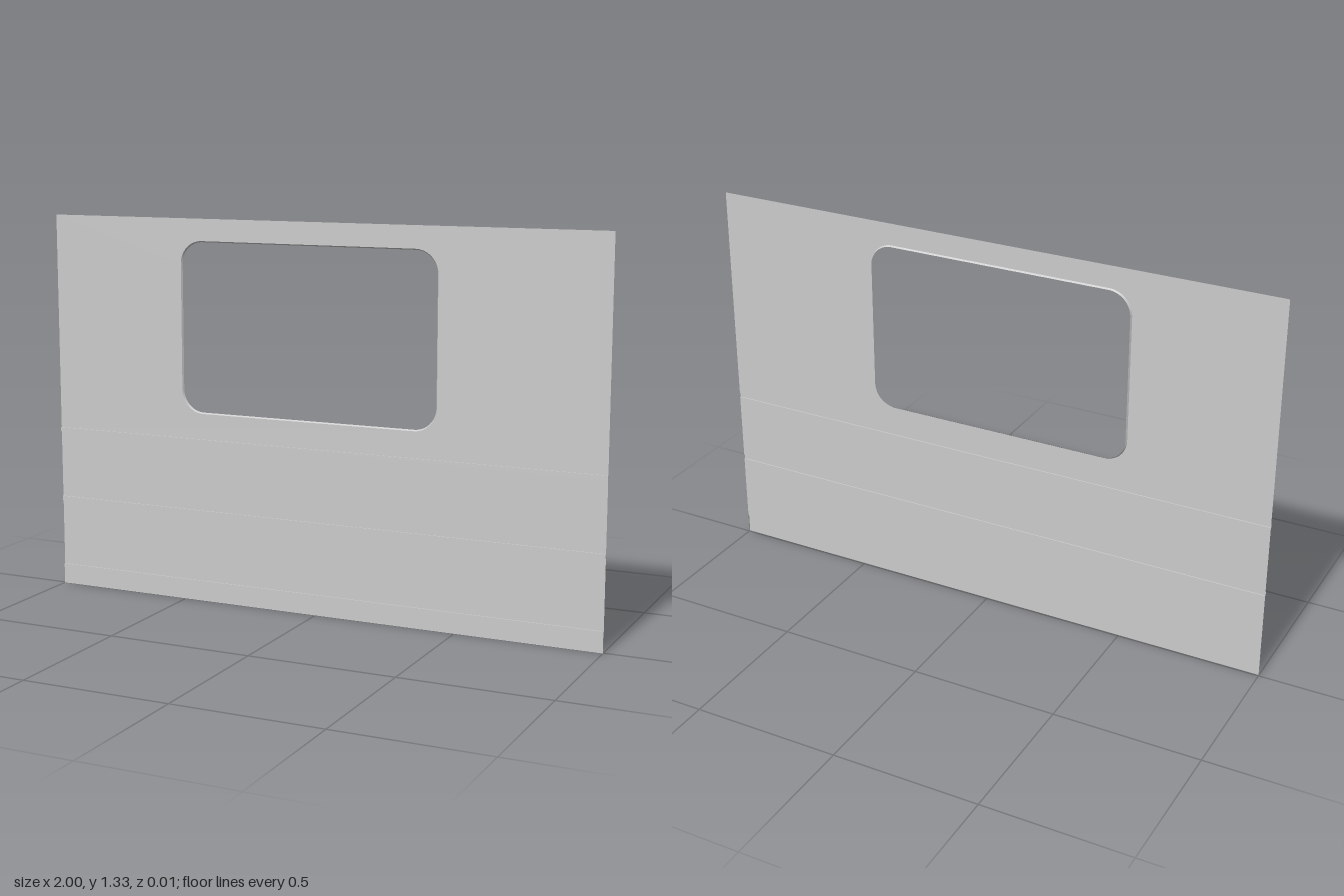
import * as THREE from 'three';

const BACK = -0.005, SHEET = 0.001, RAISED = 0.005; // depths of the pressed sheet
const TOP = 1.325;

const material = new THREE.MeshStandardMaterial({ color: 0xcccccc, side: THREE.DoubleSide });

// Quads joining two matching rows of [x, y, z] points
function ribbon(a, b) {
  const pos = [];
  for (let i = 0; i < a.length - 1; i++) {
    pos.push(...a[i], ...b[i], ...b[i + 1], ...a[i], ...b[i + 1], ...a[i + 1]);
  }
  const g = new THREE.BufferGeometry();
  g.setAttribute('position', new THREE.Float32BufferAttribute(pos, 3));
  g.computeVertexNormals();
  return g;
}

// Rounded window outline, counter-clockwise, shrunk by an inset
function windowOutline(PathType, inset) {
  const x0 = -0.505 + inset, x1 = 0.43 - inset, y0 = 0.66 + inset, y1 = 1.25 - inset;
  const r = 0.08 - inset, q = Math.PI / 2;
  const p = new PathType();
  p.moveTo(x0 + r, y0);
  p.absarc(x1 - r, y0 + r, r, -q, 0, false);
  p.absarc(x1 - r, y1 - r, r, 0, q, false);
  p.absarc(x0 + r, y1 - r, r, q, 2 * q, false);
  p.absarc(x0 + r, y0 + r, r, 2 * q, 3 * q, false);
  p.closePath();
  return p;
}

export function createModel() {
  const group = new THREE.Group();
  const add = (name, geometry) => {
    const mesh = new THREE.Mesh(geometry, material);
    mesh.name = name;
    group.add(mesh);
    return mesh;
  };

  // Upper sheet with the window opening
  const bottom = 0.571;
  const sheet = new THREE.Shape();
  sheet.moveTo(-1, bottom).lineTo(1, bottom).lineTo(1, TOP).lineTo(-1, TOP).closePath();
  sheet.holes.push(windowOutline(THREE.Path, 0));
  add('upperPanel', new THREE.ShapeGeometry(sheet, 10)).position.z = SHEET;

  // Flange folded back around the window
  const at = (inset, z) => windowOutline(THREE.Path, inset).getPoints(10).map(p => [p.x, p.y, z]);
  add('windowFlange', ribbon(at(0, SHEET), at(0.004, BACK)));

  // Lower sheet: two raised ribs and a raised bottom band
  const profile = [[bottom, SHEET]];
  for (const y of [0.571, 0.321]) {
    profile.push([y, RAISED], [y - 0.016, RAISED], [y - 0.016, SHEET], [y - 0.25, SHEET]);
  }
  profile.push([0.071, RAISED], [0, RAISED]);
  const edge = x => profile.map(([y, z]) => [x, y, z]);
  add('lowerPanel', ribbon(edge(-1), edge(1)));

  // Small end returns on the bottom band
  for (const x of [-1, 1]) {
    add(x > 0 ? 'leftEndReturn' : 'rightEndReturn',
      ribbon([[x, 0, SHEET], [x, 0.071, SHEET]], [[x, 0, RAISED], [x, 0.071, RAISED]]));
  }
  return group;
}
